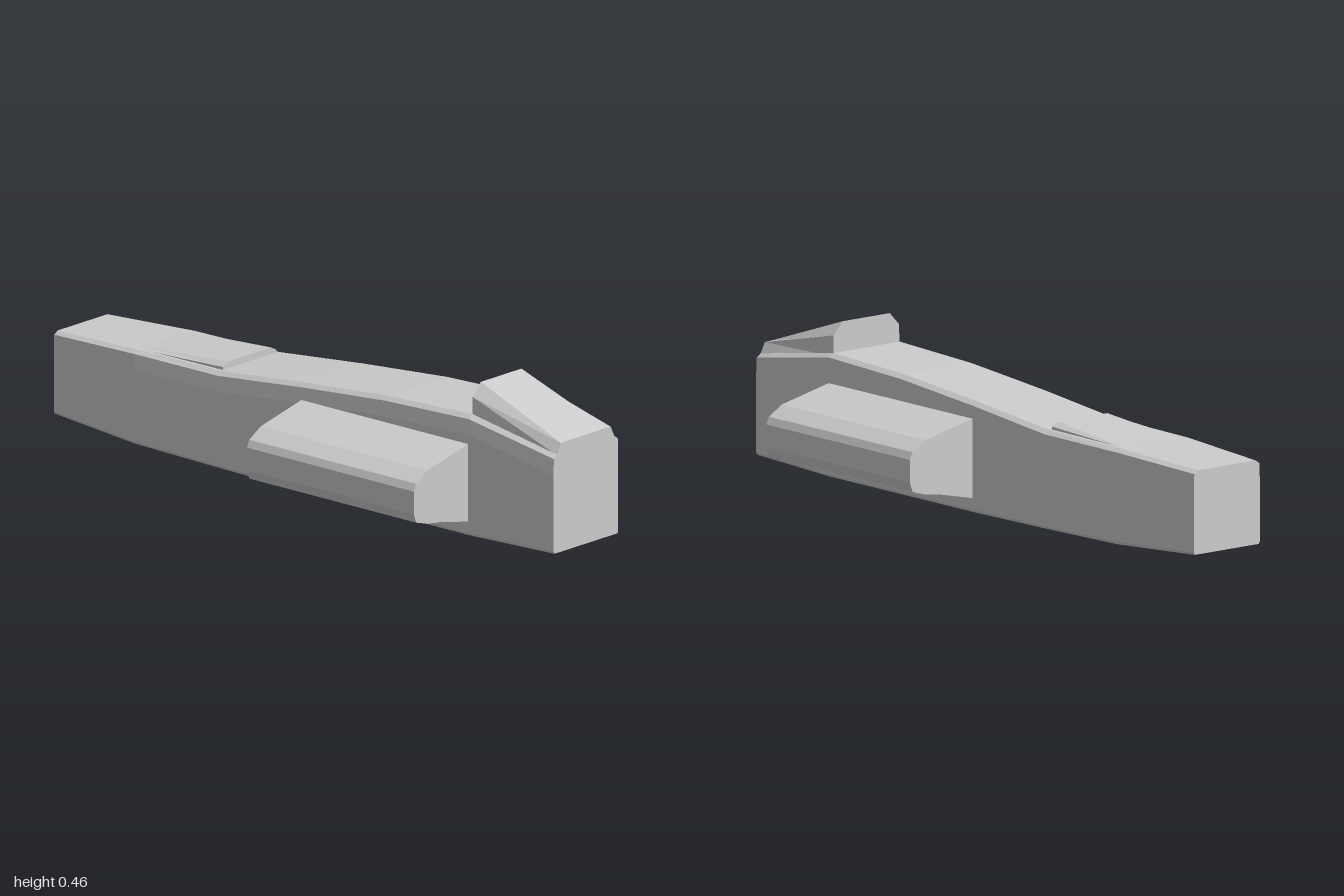
import * as THREE from 'three';

const material = new THREE.MeshStandardMaterial({ color: 0xcccccc, flatShading: true });

// Skin cross-sections along x. Each section is [x, half profile of [z, y] from top to bottom],
// mirrored across z = 0, with both ends capped.
function loft(name, sections) {
  const rings = sections.map(([x, half]) => {
    const mirrored = half.map(([z, y]) => [-z, y]).reverse();
    return [...half, ...mirrored].map(([z, y]) => new THREE.Vector3(x, y, z));
  });
  const n = rings[0].length;
  const pos = [];
  const tri = (...points) => points.forEach((p) => pos.push(p.x, p.y, p.z));
  for (let s = 0; s < rings.length - 1; s++) {
    const [r0, r1] = [rings[s], rings[s + 1]];
    for (let i = 0; i < n; i++) {
      const j = (i + 1) % n;
      tri(r0[i], r0[j], r1[j]);
      tri(r0[i], r1[j], r1[i]);
    }
  }
  const middle = (ring) => ring.reduce((a, p) => a.add(p), new THREE.Vector3()).divideScalar(n);
  const first = rings[0], last = rings[rings.length - 1];
  const c0 = middle(first), c1 = middle(last);
  for (let i = 0; i < n; i++) {
    const j = (i + 1) % n;
    tri(c0, first[j], first[i]);
    tri(c1, last[i], last[j]);
  }
  const geometry = new THREE.BufferGeometry();
  geometry.setAttribute('position', new THREE.Float32BufferAttribute(pos, 3));
  geometry.computeVertexNormals();
  const mesh = new THREE.Mesh(geometry, material);
  mesh.name = name;
  return mesh;
}

// Side pod: a blunt profile run along x, on the +z (1) or -z (-1) side
function sidePod(name, side) {
  const profile = [
    [0.1, 0.29], [0.142, 0.283], [0.325, 0.242], [0.375, 0.212], [0.385, 0.19], [0.385, 0.12],
    [0.375, 0.092], [0.325, 0.077], [0.265, 0.069], [0.142, 0.042], [0.1, 0.033],
  ];
  const shape = new THREE.Shape(profile.map(([z, y]) => new THREE.Vector2(-z * side, y)));
  const geometry = new THREE.ExtrudeGeometry(shape, { depth: 0.663, bevelEnabled: false });
  geometry.rotateY(Math.PI / 2);
  const mesh = new THREE.Mesh(geometry, material);
  mesh.name = name;
  return mesh;
}

export function createModel() {
  const group = new THREE.Group();
  group.name = 'craft';

  // Hull stations: x, half width, top, bevel height, bottom edge, bottom middle
  const hullStations = [
    [-1, 0.127, 0.284, 0.01, 0.03, 0.03],
    [-0.667, 0.144, 0.297, 0.01, 0.01, 0.014],
    [-0.333, 0.145, 0.3, 0.012, 0.004, 0.01],
    [0, 0.145, 0.333, 0.012, 0, 0.008],
    [0.333, 0.145, 0.36, 0.012, 0, 0.008],
    [0.663, 0.145, 0.371, 0.012, 0, 0.008],
    [1, 0.143, 0.315, 0.011, 0.011, 0.011],
  ];
  group.add(loft('hull', hullStations.map(([x, w, top, bevel, edge, mid]) => [x, [
    [w - 0.017, top], [w - 0.002, top - bevel], [w, top - 0.06],
    [w, edge + 0.008], [w - 0.004, edge], [w - 0.05, mid],
  ]])));

  // Raised wedge on the nose deck, ending in a small step
  group.add(loft('noseDeck', [
    [-0.68, [[0.09, 0.297], [0.115, 0.295], [0.115, 0.285]]],
    [-0.336, [[0.095, 0.321], [0.118, 0.309], [0.118, 0.29]]],
  ]));

  // Tall bevelled tail housing sloping down to the rear
  group.add(loft('tailHousing', [
    [0.663, [[0.09, 0.462], [0.126, 0.424], [0.127, 0.36]]],
    [1, [[0.09, 0.348], [0.11, 0.347], [0.127, 0.312]]],
  ]));

  group.add(sidePod('frontPod', 1), sidePod('backPod', -1));
  return group;
}
